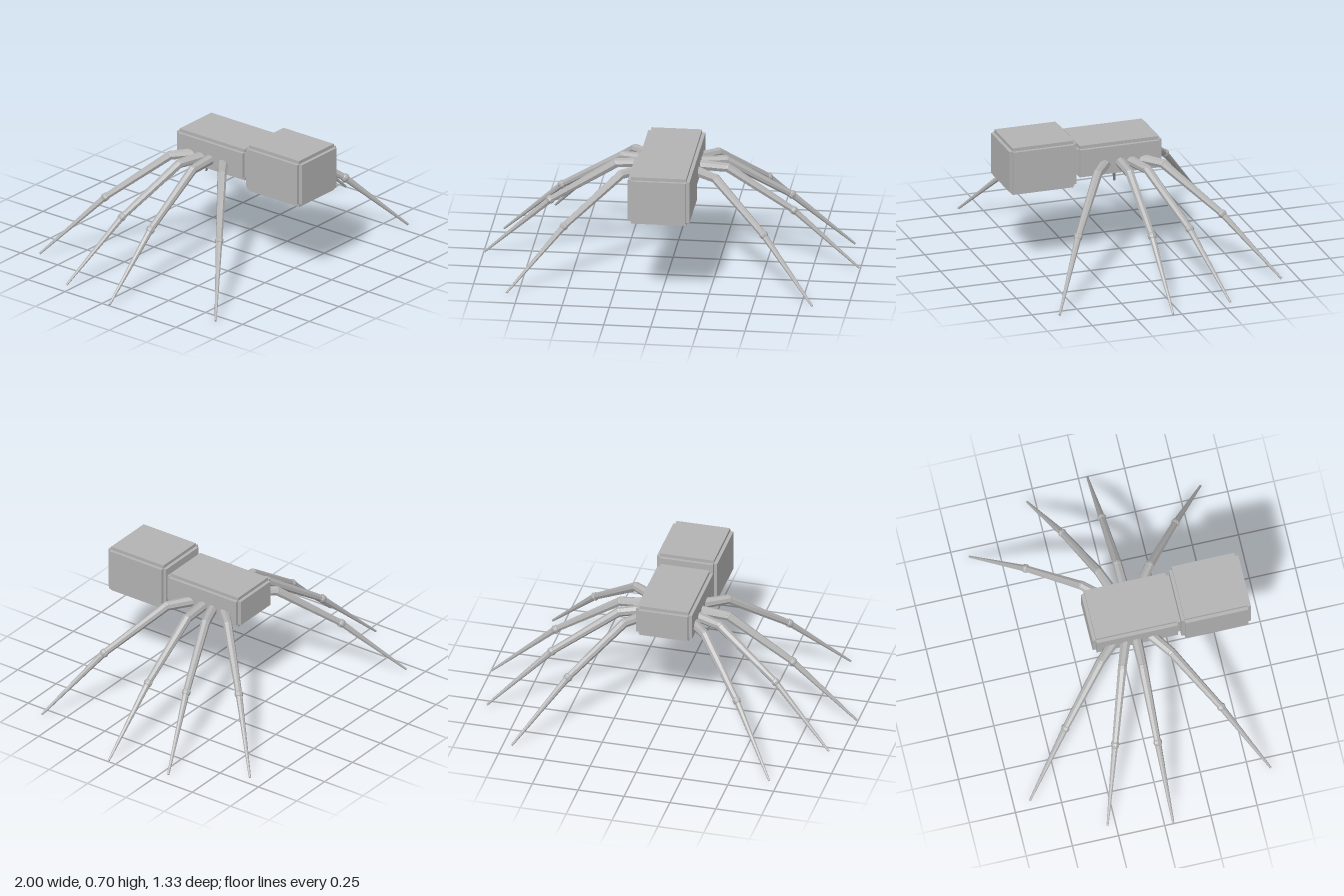
import * as THREE from 'three';

const grey = new THREE.MeshStandardMaterial({ color: 0xb2b2b2, flatShading: true });
grey.name = 'grey';

// Box with stepped edges: three boxes, each full length along one or two axes
function steppedBox(name, [x, y, z], [w, h, d], step = 0.036) {
  const group = new THREE.Group();
  group.name = name;
  group.position.set(x, y, z);
  const sizes = {
    Sides: [w, h - step, d - step],
    TopAndBottom: [w - step, h, d - step],
    FrontAndBack: [w - step, h - step, d],
  };
  for (const [part, size] of Object.entries(sizes)) {
    const mesh = new THREE.Mesh(new THREE.BoxGeometry(...size), grey);
    mesh.name = name + part;
    group.add(mesh);
  }
  return group;
}

// Tapered eight-sided limb between two points
function limb(name, a, b, ra, rb) {
  const dir = b.clone().sub(a);
  const mesh = new THREE.Mesh(new THREE.CylinderGeometry(rb, ra, dir.length(), 8), grey);
  mesh.position.copy(a).add(b).multiplyScalar(0.5);
  mesh.quaternion.setFromUnitVectors(new THREE.Vector3(0, 1, 0), dir.normalize());
  mesh.name = name;
  return mesh;
}

// Small faceted ball turned along the leg
function joint(name, at, toward, r) {
  const mesh = new THREE.Mesh(new THREE.SphereGeometry(r, 8, 6), grey);
  mesh.position.copy(at);
  mesh.quaternion.setFromUnitVectors(new THREE.Vector3(0, 1, 0), toward.clone().sub(at).normalize());
  mesh.name = name;
  return mesh;
}

function leg(name, side, points) {
  const group = new THREE.Group();
  group.name = name;
  const [root, hip, knee, tip] = points.map(([x, y, z]) => new THREE.Vector3(x * side, y, z));
  group.add(
    limb('upperLeg', root, hip, 0.029, 0.025),
    joint('hipJoint', hip, knee, 0.026),
    limb('middleLeg', hip, knee, 0.025, 0.018),
    joint('kneeJoint', knee, tip, 0.024),
    limb('lowerLeg', knee, tip, 0.018, 0.006),
  );
  return group;
}

export function createModel() {
  const model = new THREE.Group();
  model.name = 'spider';

  // Body and larger front block
  model.add(
    steppedBox('body', [0, 0.577, 0.05], [0.304, 0.178, 0.476]),
    steppedBox('frontBlock', [0, 0.574, 0.478], [0.328, 0.264, 0.376]),
  );

  // Root, hip, knee and tip of each leg on the +x side
  const legs = {
    FrontLeg: [[0.12, 0.55, 0.115], [0.25, 0.543, 0.21], [0.53, 0.317, 0.415], [0.812, 0.006, 0.617]],
    SecondLeg: [[0.11, 0.555, 0.048], [0.295, 0.543, 0.046], [0.647, 0.317, 0.044], [0.995, 0.006, 0.047]],
    ThirdLeg: [[0.11, 0.553, 0], [0.275, 0.543, -0.06], [0.61, 0.317, -0.178], [0.932, 0.006, -0.294]],
    RearLeg: [[0.12, 0.552, -0.062], [0.22, 0.543, -0.165], [0.46, 0.317, -0.412], [0.702, 0.006, -0.66]],
  };
  for (const [name, points] of Object.entries(legs)) {
    model.add(leg('left' + name, 1, points), leg('right' + name, -1, points));
  }
  return model;
}
